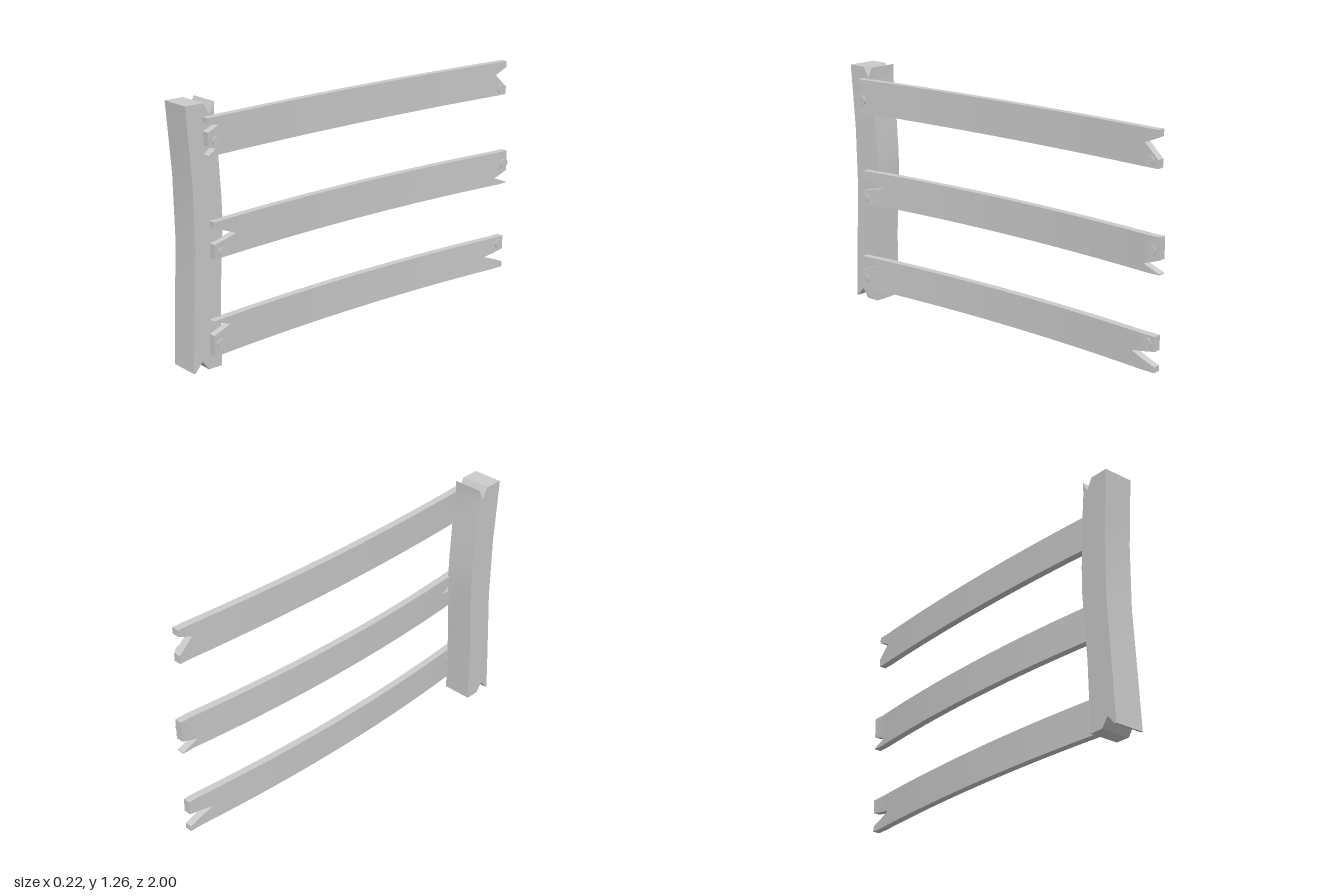
import * as THREE from 'three';
import { toCreasedNormals } from 'three/addons/utils/BufferGeometryUtils.js';

const material = new THREE.MeshStandardMaterial({ color: 0xcccccc });
const THICK = 0.038;
const END_X = 0.05;

// Inner face of a plank bows towards -x at mid-length
const bow = (z, mid) => mid + (END_X - mid) * Math.min(1, (z / 0.93) ** 2);

// Linear interpolation of one column in rows sorted by falling z
function sample(rows, z, col) {
  if (z >= rows[0][0]) return rows[0][col];
  for (let i = 1; i < rows.length; i++) {
    const a = rows[i - 1], b = rows[i];
    if (z >= b[0]) return a[col] + (b[col] - a[col]) * (a[0] - z) / (a[0] - b[0]);
  }
  return rows[rows.length - 1][col];
}

// Bowed plank, divided lengthwise by seams that open into splits at the ends.
// Seam rows: [z, lower lip y, upper lip y]
function plankGeometry({ front, back, low, high, mid, seams }) {
  const stations = new Set();
  for (let i = 0; i <= 28; i++) stations.add(back + (front - back) * i / 28);
  seams.forEach(s => s.forEach(r => stations.add(r[0])));
  const zs = [...stations].sort((a, b) => a - b);
  const pos = [];
  const quad = (a, b, c, d) => pos.push(...a, ...b, ...c, ...a, ...c, ...d);

  for (let k = 0; k <= seams.length; k++) {
    const under = seams[k - 1], over = seams[k];
    // Four corners of this strip's cross-section: inner/outer low, outer/inner high
    const section = z => {
      const x = bow(z, mid), o = x + THICK;
      const lo = under ? sample(under, z, 2) : low;
      const hi = over ? sample(over, z, 1) : high;
      return [[x, lo, z], [o, lo, z], [o, hi, z], [x, hi, z]];
    };
    const open = (seam, z) => !seam || sample(seam, z, 2) - sample(seam, z, 1) > 1e-5;
    for (let i = 1; i < zs.length; i++) {
      const A = section(zs[i - 1]), B = section(zs[i]);
      quad(B[1], A[1], A[2], B[2]);
      quad(A[0], B[0], B[3], A[3]);
      if (open(over, zs[i - 1]) || open(over, zs[i])) quad(B[3], B[2], A[2], A[3]);
      if (open(under, zs[i - 1]) || open(under, zs[i])) quad(A[0], A[1], B[1], B[0]);
    }
    const F = section(front), R = section(back);
    quad(F[0], F[1], F[2], F[3]);
    quad(R[3], R[2], R[1], R[0]);
  }
  const geo = new THREE.BufferGeometry();
  geo.setAttribute('position', new THREE.Float32BufferAttribute(pos, 3));
  return toCreasedNormals(geo, 0.4);
}

// Nail with a thin shank and a flat round head
function nail(x, y, z) {
  const g = new THREE.Group();
  g.name = 'nail';
  const shank = new THREE.Mesh(new THREE.CylinderGeometry(0.004, 0.004, 0.03, 8), material);
  shank.name = 'nailShank';
  shank.position.y = -0.015;
  const head = new THREE.Mesh(new THREE.CylinderGeometry(0.024, 0.024, 0.005, 20), material);
  head.name = 'nailHead';
  g.add(shank, head);
  g.rotation.z = -Math.PI / 2;
  g.position.set(x, y, z);
  return g;
}

export function createModel() {
  const model = new THREE.Group();
  model.name = 'brokenFence';

  // Waisted post with a notch at the top and bottom, outline as [z, y]
  const outline = [
    [1, 0], [0.99, 0], [0.95, 0.048], [0.915, 0], [0.842, 0], [0.838, 0.35],
    [0.817, 0.7], [0.82, 0.82], [0.833, 1.05], [0.847, 1.2], [0.845, 1.26],
    [0.872, 1.205], [0.903, 1.26], [1, 1.26], [0.975, 0.92], [0.97, 0.6], [0.99, 0.22],
  ];
  const shape = new THREE.Shape(outline.map(([z, y]) => new THREE.Vector2(-z, y)));
  const postGeo = new THREE.ExtrudeGeometry(shape, { depth: 0.157, bevelEnabled: false });
  postGeo.rotateY(Math.PI / 2).translate(-0.11, 0, 0);
  const post = new THREE.Mesh(toCreasedNormals(postGeo, 0.4), material);
  post.name = 'post';
  model.add(post);

  // Three planks, nails given as [x, y, z]
  const planks = [
    {
      name: 'topPlank', front: 0.91, back: -0.975, low: 1.025, high: 1.2, mid: 0.015,
      seams: [
        [[0.91, 1.03, 1.07], [0.87, 1.055, 1.055], [-0.975, 1.055, 1.055]],
        [[0.91, 1.135, 1.175], [0.85, 1.16, 1.16], [-0.9, 1.135, 1.135], [-0.975, 1.066, 1.168]],
      ],
      nails: [[0.098, 1.095, 0.87], [0.098, 1.06, -0.935]],
    },
    {
      name: 'middlePlank', front: 0.89, back: -0.997, low: 0.541, high: 0.717, mid: 0,
      seams: [[[0.89, 0.61, 0.69], [0.76, 0.637, 0.637], [-0.91, 0.58, 0.58], [-0.997, 0.546, 0.61]]],
      nails: [[0.104, 0.577, 0.86], [0.104, 0.657, -0.962]],
    },
    {
      name: 'bottomPlank', front: 0.907, back: -0.985, low: 0.072, high: 0.247, mid: 0.004,
      seams: [[[0.907, 0.175, 0.244], [0.81, 0.208, 0.208], [-0.85, 0.15, 0.15], [-0.985, 0.1, 0.175]]],
      nails: [[0.098, 0.133, 0.875], [0.098, 0.212, -0.947]],
    },
  ];
  for (const p of planks) {
    const group = new THREE.Group();
    group.name = p.name;
    const board = new THREE.Mesh(plankGeometry(p), material);
    board.name = p.name + 'Board';
    group.add(board, ...p.nails.map(n => nail(...n)));
    model.add(group);
  }
  return model;
}
